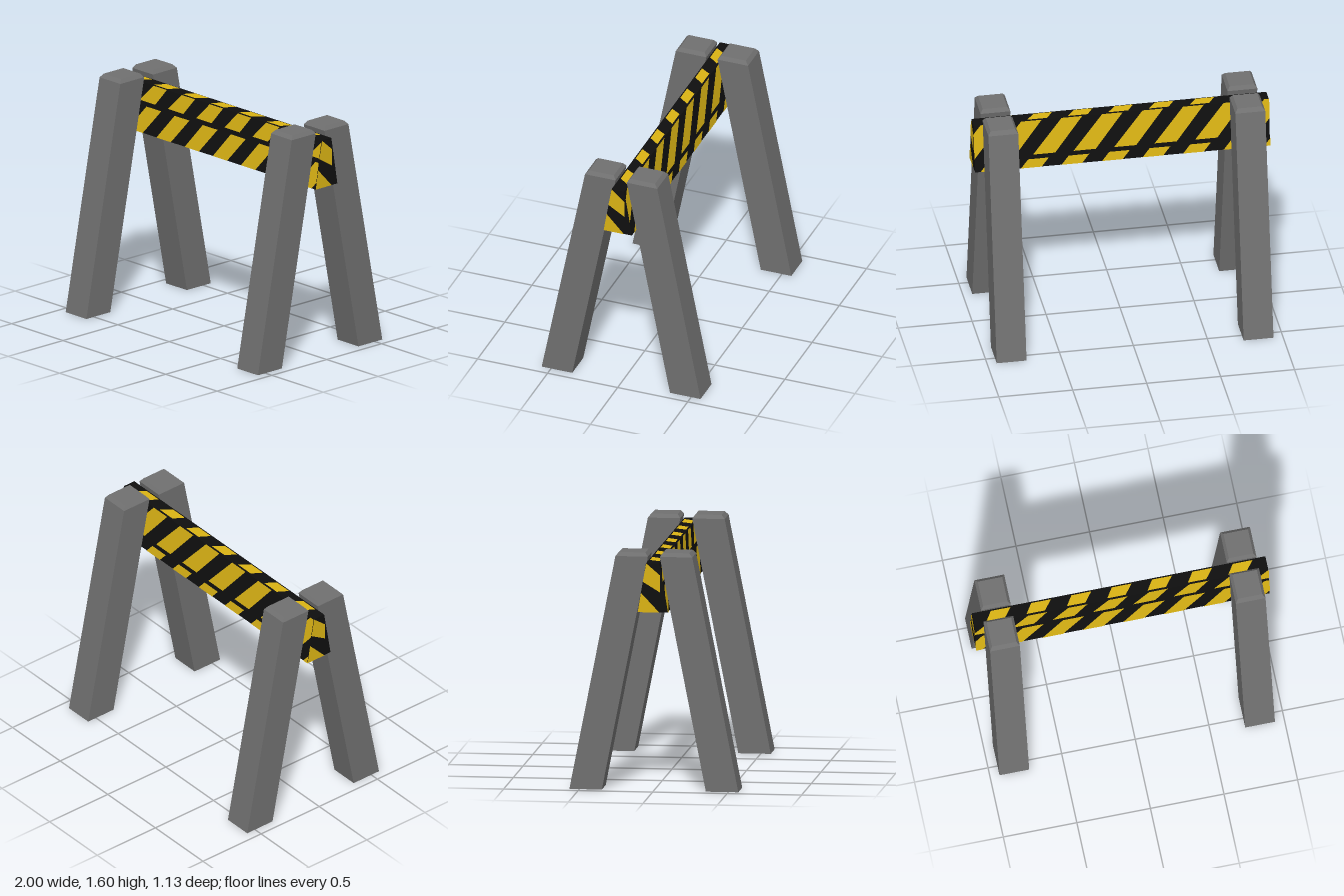
import * as THREE from 'three';

const grey = new THREE.MeshStandardMaterial({ color: 0x707070 });
grey.name = 'legGrey';
const black = new THREE.MeshStandardMaterial({ color: 0x0f0f0f });
black.name = 'beamBlack';
const yellow = new THREE.MeshStandardMaterial({ color: 0xdab314 });
yellow.name = 'stripeYellow';

const PERIOD = 0.274; // spacing of the stripes along the beam
const LOW = 1.21, HIGH = 1.54; // beam bottom and top
const HALF_LOW = 0.1, HALF_HIGH = 0.045; // beam half depth, bottom and top
const LIFT = 0.003; // stripes sit just clear of the beam

// Leaning post with a bevelled cap: [y, centre z, half depth, half width] per ring
function legGeometry() {
  const rings = [
    [0, 0.458, 0.109, 0.101],
    [1.575, 0.149, 0.109, 0.101],
    [1.6, 0.147, 0.088, 0.083],
  ];
  const g = new THREE.BoxGeometry(2, 2, 2, 1, 2, 1).toNonIndexed();
  const p = g.attributes.position;
  for (let i = 0; i < p.count; i++) {
    const [y, z, d, w] = rings[Math.round(p.getY(i)) + 1];
    p.setXYZ(i, p.getX(i) * w, y, z + p.getZ(i) * d);
  }
  g.computeVertexNormals();
  return g;
}

// Cut a polygon at u = limit, keeping the side given by sign
function clip(points, limit, sign) {
  const out = [];
  points.forEach((a, i) => {
    const b = points[(i + 1) % points.length];
    const da = (limit - a[0]) * sign, db = (limit - b[0]) * sign;
    if (da >= 0) out.push(a);
    if (da * db < 0) {
      const t = da / (da - db);
      out.push([limit, a[1] + (b[1] - a[1]) * t]);
    }
  });
  return out;
}

// One row of slanted cells: [lower v, lower u, lower width, upper v, upper u, upper width]
function row([v0, u0, w0, v1, u1, w1]) {
  const cells = [];
  for (let k = -6; k <= 6; k++) {
    const s = k * PERIOD;
    const quad = [[u0 + s, v0], [u0 + w0 + s, v0], [u1 + w1 + s, v1], [u1 + s, v1]];
    const cut = clip(clip(quad, 1, 1), -1, -1);
    if (cut.length > 2) cells.push(cut);
  }
  return cells;
}

// Flat yellow patches placed on a beam face by its u and v axes
function stripes(name, polygons, origin, uAxis, vAxis) {
  const shapes = polygons.map((pts) => new THREE.Shape(pts.map(([u, v]) => new THREE.Vector2(u, v))));
  const u = new THREE.Vector3(...uAxis), v = new THREE.Vector3(...vAxis);
  const n = u.clone().cross(v).normalize();
  const m = new THREE.Matrix4().makeBasis(u, v, n);
  m.setPosition(new THREE.Vector3(...origin).addScaledVector(n, LIFT));
  const mesh = new THREE.Mesh(new THREE.ShapeGeometry(shapes).applyMatrix4(m), yellow);
  mesh.name = name;
  return mesh;
}

function createBeam() {
  const beam = new THREE.Group();
  beam.name = 'stripedBeam';

  // Tapered plank
  const section = new THREE.Shape([
    new THREE.Vector2(-HALF_LOW, LOW), new THREE.Vector2(HALF_LOW, LOW),
    new THREE.Vector2(HALF_HIGH, HIGH), new THREE.Vector2(-HALF_HIGH, HIGH),
  ]);
  const length = 2 - 2 * LIFT;
  const g = new THREE.ExtrudeGeometry(section, { depth: length, bevelEnabled: false });
  g.translate(0, 0, -length / 2).rotateY(Math.PI / 2);
  const core = new THREE.Mesh(g, black);
  core.name = 'beamCore';
  beam.add(core);

  // Long faces
  const height = HIGH - LOW;
  const lean = (HALF_LOW - HALF_HIGH) / height;
  const front = [[0, 0, 0.14, 0.18, 0.145, 0.145], [0.21, 0.075, 0.15, height, 0.187, 0.13]];
  const back = [[0, -0.14, 0.14, 0.06, -0.09, 0.14], [0.09, -0.33, 0.15, height, -0.13, 0.14]];
  beam.add(
    stripes('frontStripes', front.flatMap(row), [0, LOW, HALF_LOW], [1, 0, 0], [0, 1, -lean]),
    stripes('backStripes', back.flatMap(row), [0, LOW, -HALF_LOW], [-1, 0, 0], [0, 1, lean]),
    stripes('topStripes', row([-0.035, 0.18, 0.125, 0.035, 0.225, 0.135]), [0, HIGH, 0], [1, 0, 0], [0, 0, -1]),
    stripes('bottomStripes', row([-0.075, 0, 0.14, 0.075, 0.13, 0.14]), [0, LOW, 0], [1, 0, 0], [0, 0, 1]),
  );

  // Beam ends
  const end = [
    [[-0.045, 1.535], [-0.07, 1.43], [0.05, 1.35], [0.05, 1.46], [-0.04, 1.54]],
    [[-0.1, 1.21], [0.045, 1.21], [-0.078, 1.34]],
  ];
  end[0] = [[-0.068, 1.4], [-0.05, 1.42], [0.05, 1.35], [0.05, 1.46], [-0.042, 1.54]];
  end[0] = [[-0.066, 1.415], [0.05, 1.345], [0.05, 1.46], [-0.043, 1.54]];
  for (const s of [1, -1]) {
    beam.add(stripes(s > 0 ? 'leftEndStripes' : 'rightEndStripes', end, [s * (1 - LIFT), 0, 0], [0, 0, -s], [0, 1, 0]));
  }
  return beam;
}

export function createModel() {
  const model = new THREE.Group();
  model.name = 'barrier';
  const geometry = legGeometry();
  for (const side of [1, -1]) {
    for (const face of [1, -1]) {
      const leg = new THREE.Mesh(geometry, grey);
      leg.name = (face > 0 ? 'front' : 'back') + (side > 0 ? 'LeftLeg' : 'RightLeg');
      leg.position.x = side * 0.835;
      if (face < 0) leg.rotation.y = Math.PI;
      model.add(leg);
    }
  }
  model.add(createBeam());
  return model;
}
